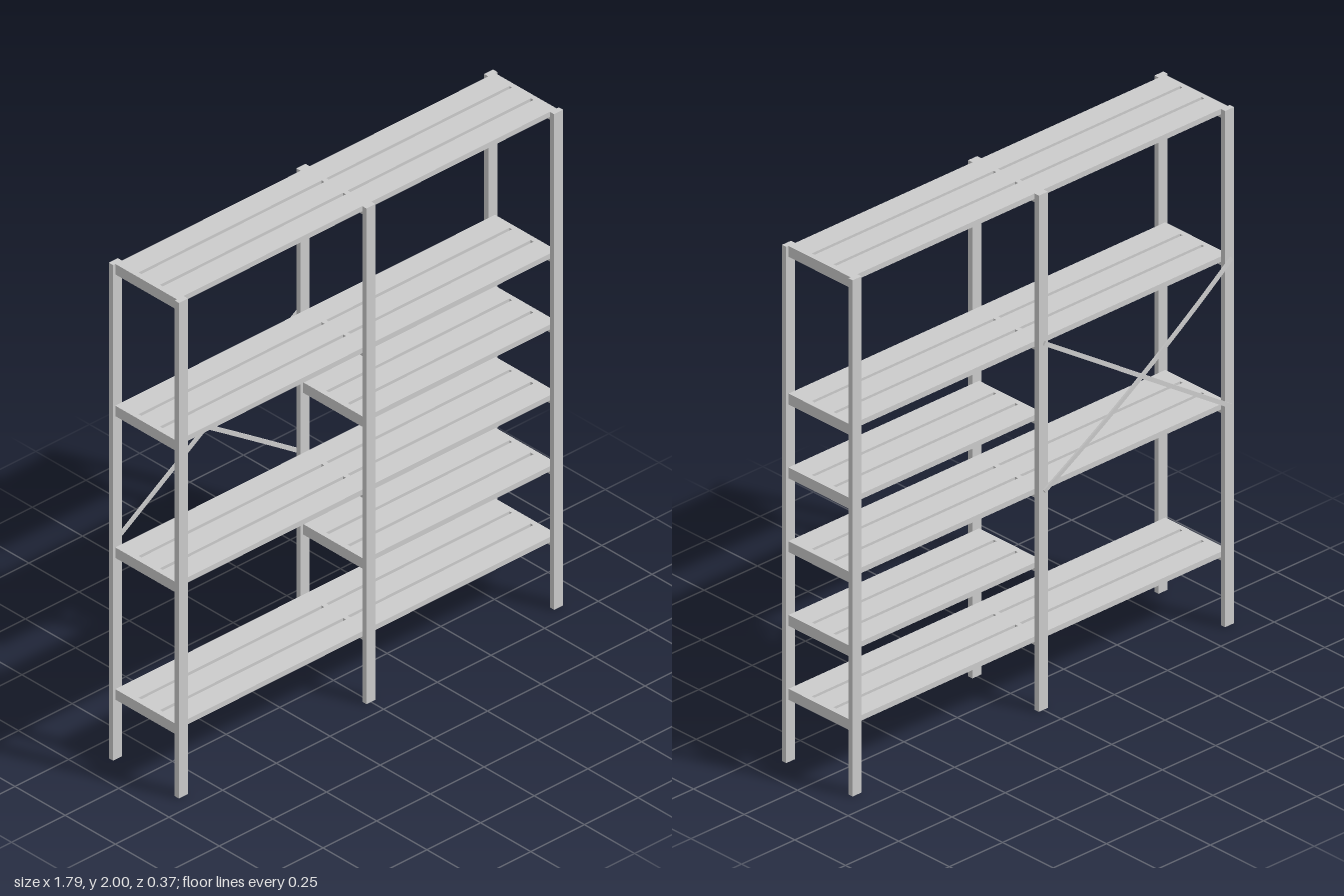
import * as THREE from 'three';

const material = new THREE.MeshStandardMaterial({ color: 0xcccccc, flatShading: true });

const POST_X = 0.874, POST_W = 0.042, POST_D = 0.021;
const FRONT = 0.187, BACK = -0.162;               // outer faces of the posts
const IN_FRONT = FRONT - POST_D, IN_BACK = BACK + POST_D;
const DEPTH = IN_FRONT - IN_BACK, MID_Z = (IN_FRONT + IN_BACK) / 2;
const RAIL_W = 0.021, RAIL_H = 0.042, PLANK_H = 0.021;

function box(parent, name, w, h, d, x, y, z) {
  const mesh = new THREE.Mesh(new THREE.BoxGeometry(w, h, d), material);
  mesh.name = name;
  mesh.position.set(x, y, z);
  parent.add(mesh);
  return mesh;
}

// Three slats side by side, their tops flush with the rails
function shelf(top, side) {
  const group = new THREE.Group();
  group.name = side < 0 ? 'rightShelf' : 'leftShelf';
  const gap = 0.0135, width = (DEPTH - 2 * gap) / 3;
  for (let i = -1; i <= 1; i++) {
    box(group, 'slat', POST_X - RAIL_W, PLANK_H, width,
      side * POST_X / 2, top - PLANK_H / 2, MID_Z + i * (width + gap));
  }
  return group;
}

// Flat bar on the back, optionally bowed outwards in the middle
function brace(y0, y1, bow) {
  const dx = 0.88, dy = y1 - y0, length = Math.hypot(dx, dy);
  const geometry = new THREE.BoxGeometry(length, 0.016, 0.007, bow ? 16 : 1, 1, 1);
  const p = geometry.attributes.position;
  for (let i = 0; i < p.count; i++) {
    const t = p.getX(i) / (length / 2);
    p.setZ(i, p.getZ(i) - bow * (1 - t * t));
  }
  geometry.computeVertexNormals();
  const mesh = new THREE.Mesh(geometry, material);
  mesh.name = 'crossBrace';
  mesh.position.set(-dx / 2, (y0 + y1) / 2, BACK - 0.0045);
  mesh.rotation.z = Math.atan2(dy, dx);
  return mesh;
}

export function createModel() {
  const model = new THREE.Group();
  model.name = 'shelvingUnit';

  const wide = [0.284, 0.856, 1.428, 2];          // shelves in both bays
  const extra = [0.57, 1.142];                    // shelves in the left bay only

  // Ladder frames: posts and rails
  for (const side of [-1, 0, 1]) {
    const frame = new THREE.Group();
    frame.name = 'ladderFrame';
    const x = side * POST_X;
    box(frame, 'frontPost', POST_W, 2, POST_D, x, 1, FRONT - POST_D / 2);
    box(frame, 'backPost', POST_W, 2, POST_D, x, 1, BACK + POST_D / 2);
    const levels = side < 0 ? wide : [...wide, ...extra];
    for (const top of levels) {
      box(frame, 'rail', RAIL_W, RAIL_H, DEPTH, x, top - RAIL_H / 2, MID_Z);
    }
    model.add(frame);
  }

  // Shelves
  for (const top of wide) model.add(shelf(top, -1), shelf(top, 1));
  for (const top of extra) model.add(shelf(top, 1));

  // Crossed braces behind the right bay
  model.add(brace(0.848, 1.422, 0), brace(1.422, 0.848, 0.017));

  return model;
}
